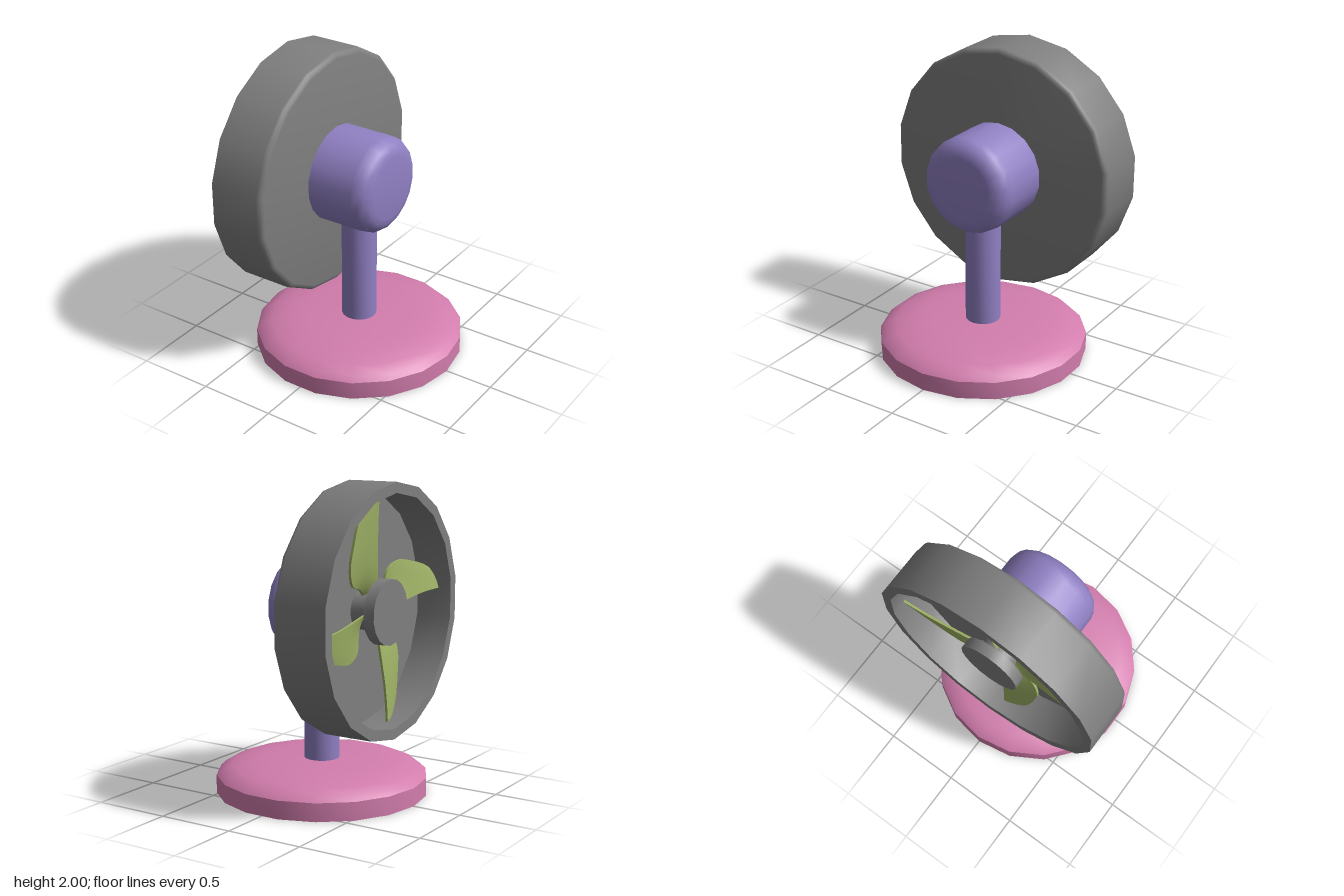
import * as THREE from 'three';
import { toCreasedNormals } from 'three/addons/utils/BufferGeometryUtils.js';

const SIDES = 18;
const AXIS_Y = 1.203; // height of the fan axis

const paint = (color) => new THREE.MeshStandardMaterial({ color });
const pink = paint(0xd27dad);
const purple = paint(0x9080c3);
const darkGrey = paint(0x7f7f7f);
const green = paint(0x9fb266);

// Turned part from [radius, height] points, with a vertex on the x axis
function turned(name, points, material) {
  const profile = points.map(([r, h]) => new THREE.Vector2(r, h));
  const lathe = new THREE.LatheGeometry(profile, SIDES, Math.PI / 2);
  const mesh = new THREE.Mesh(toCreasedNormals(lathe, 0.65), material);
  mesh.name = name;
  return mesh;
}

// Turned part laid along the fan axis: heights run towards -x
function turnedOnAxis(name, points, material) {
  const mesh = turned(name, points, material);
  mesh.rotation.z = Math.PI / 2;
  mesh.position.y = AXIS_Y;
  return mesh;
}

// Quarter-round fillet from radius r - f at height h up to radius r at h + f
function fillet(r, h, f, steps = 4) {
  return Array.from({ length: steps + 1 }, (_, i) => {
    const a = (i / steps) * Math.PI / 2;
    return [r - f + f * Math.sin(a), h + f - f * Math.cos(a)];
  });
}

// Sickle-shaped, pitched blade: a thin slab bent around the fan axis
function bladeGeometry() {
  // Root to tip: radius, angle of rear edge, angle of front edge (degrees)
  const outline = new THREE.CatmullRomCurve3([
    [0.12, 34, 0], [0.2, 42, 3], [0.31, 53, 5], [0.42, 46, 6], [0.55, 31, 6], [0.71, 18, 5],
  ].map((v) => new THREE.Vector3(...v)));
  const slab = new THREE.BoxGeometry(1, 0.016, 1, 15, 1, 6);
  const p = slab.attributes.position;
  const { lerp, degToRad } = THREE.MathUtils;
  for (let i = 0; i < p.count; i++) {
    const u = p.getX(i) + 0.5; // root to tip
    const w = p.getZ(i) + 0.5; // rear edge to front edge
    const { x: radius, y: rear, z: front } = outline.getPoint(u);
    const r = radius - 0.045 * u * (1 - w) ** 2; // rounded tip
    const angle = degToRad(lerp(rear, front, w));
    // The pitch flattens towards the tip
    const depth = lerp(lerp(-0.34, -0.41, u), lerp(-0.4, -0.445, u), w) - p.getY(i);
    p.setXYZ(i, depth, r * Math.sin(angle), r * Math.cos(angle));
  }
  return toCreasedNormals(slab, 0.65);
}

export function createModel() {
  const fan = new THREE.Group();
  fan.name = 'deskFan';

  // Domed foot and post
  fan.add(turned('base', [
    [0, 0], [0.68, 0], [0.68, 0.117], [0.645, 0.15], [0.58, 0.18],
    [0.47, 0.204], [0.35, 0.218], [0, 0.218],
  ], pink));
  fan.add(turned('post', [[0.114, 0.2], [0.114, 1.0]], purple));

  // Motor housing, rounded at the rear
  fan.add(turnedOnAxis('motorHousing', [
    [0, -0.249], ...fillet(0.314, -0.249, 0.11), [0.314, 0.18], [0, 0.18],
  ], purple));

  // Drum-shaped shroud, open towards the blades
  fan.add(turnedOnAxis('shroud', [
    [0, 0.168], ...fillet(0.797, 0.168, 0.035, 3), [0.797, 0.535],
    [0.73, 0.535], [0.73, 0.29], [0, 0.29],
  ], darkGrey));

  // Shaft and hub disc
  fan.add(turnedOnAxis('shaft', [[0.125, 0.28], [0.125, 0.44]], darkGrey));
  fan.add(turnedOnAxis('hub', [
    [0, 0.43], [0.207, 0.43], [0.207, 0.503], [0, 0.503],
  ], darkGrey));

  // Four blades
  const blades = new THREE.Group();
  blades.name = 'blades';
  blades.position.y = AXIS_Y;
  const geometry = bladeGeometry();
  for (let i = 0; i < 4; i++) {
    const blade = new THREE.Mesh(geometry, green);
    blade.name = 'blade';
    blade.rotation.x = i * Math.PI / 2;
    blades.add(blade);
  }
  fan.add(blades);

  return fan;
}
